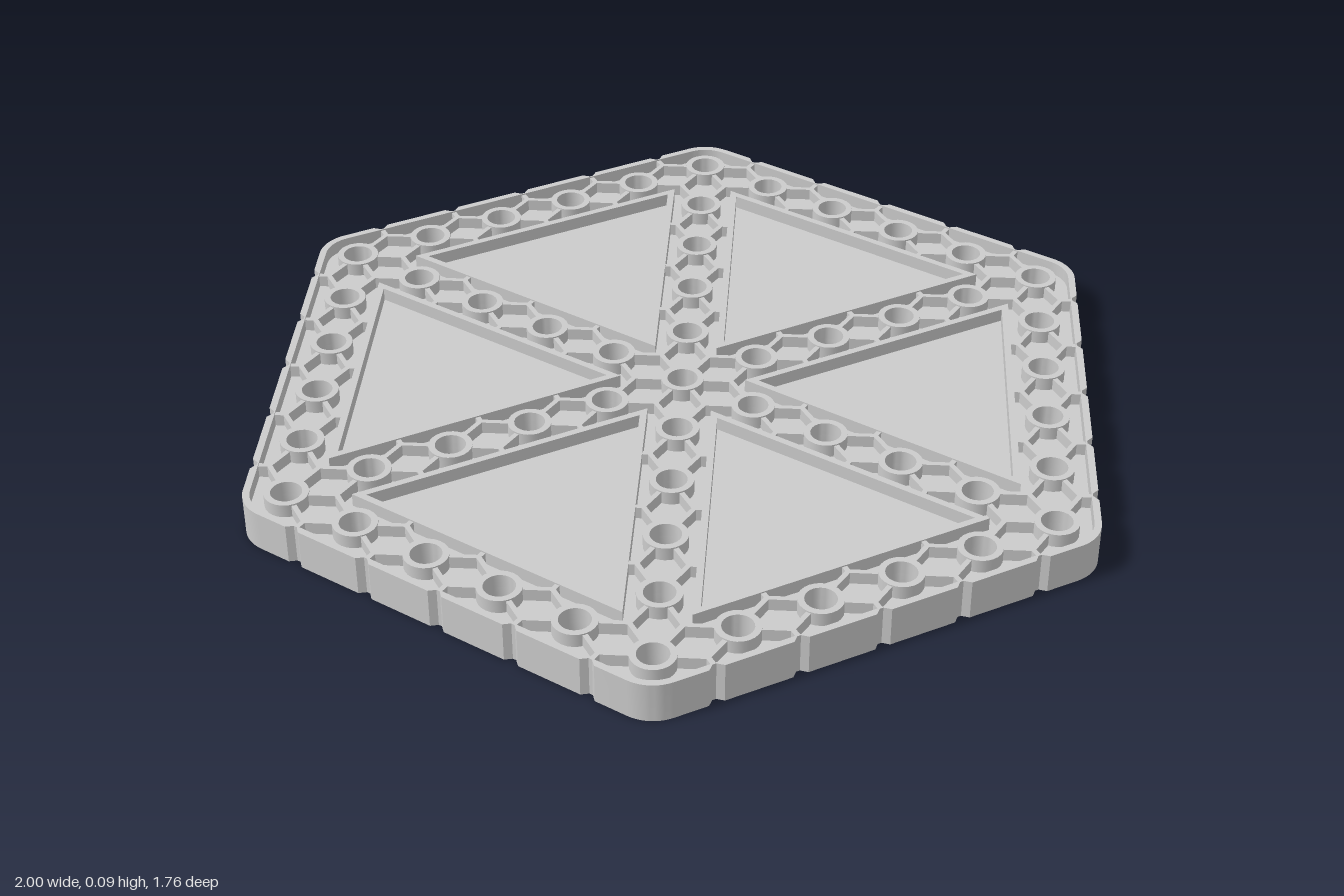
import * as THREE from 'three';
import { mergeGeometries, toCreasedNormals } from 'three/addons/utils/BufferGeometryUtils.js';

const HEIGHT = 0.09, STEPS = 5, PITCH = 0.182, R = PITCH * STEPS;
const HOLE = 0.033, BOSS = 0.047, EDGE = 0.09, WALL = 0.015;
const material = new THREE.MeshStandardMaterial({ color: 0xcccccc });

const polar = (r, deg) =>
  new THREE.Vector2(r * Math.cos(deg * Math.PI / 180), r * Math.sin(deg * Math.PI / 180));

// Hexagon with rounded corners, grown by `offset` from the hole line
function hexOutline(offset, notched) {
  const pts = [];
  for (let k = 0; k < 6; k++) {
    const corner = polar(R, 60 * k), next = polar(R, 60 * k + 60);
    for (let i = 0; i <= 10; i++) pts.push(corner.clone().add(polar(offset, 60 * k - 30 + 6 * i)));
    if (!notched) continue;
    const along = next.clone().sub(corner).normalize(), out = polar(1, 60 * k + 30);
    for (let s = 0; s < STEPS; s++) {
      for (const [du, depth] of [[-0.017, 0], [-0.004, 0.012], [0.004, 0.012], [0.017, 0]]) {
        pts.push(corner.clone()
          .addScaledVector(along, (s + 0.5) * PITCH + du)
          .addScaledVector(out, offset - depth));
      }
    }
  }
  return pts;
}

function trianglePoints(center, inradius, deg) {
  return [60, 180, 300].map((a) => center.clone().add(polar(inradius * 2, deg + a)));
}

function circlePath(center, r) {
  return new THREE.Path().absarc(center.x, center.y, r, 0, Math.PI * 2, true);
}

// Upright prism from a plan shape
function prism(shape, y0, y1) {
  const g = new THREE.ExtrudeGeometry(shape, { depth: y1 - y0, bevelEnabled: false, curveSegments: 12 });
  g.rotateX(-Math.PI / 2).translate(0, y0, 0);
  return toCreasedNormals(g, 0.6);
}

// Thin upright rib between two plan points
function rib(a, b) {
  const d = b.clone().sub(a);
  const g = new THREE.BoxGeometry(d.length(), HEIGHT - 0.006, 0.011);
  g.rotateY(Math.atan2(d.y, d.x));
  return g.translate((a.x + b.x) / 2, HEIGHT / 2, -(a.y + b.y) / 2);
}

export function createModel() {
  const group = new THREE.Group();
  const add = (name, geometry) => {
    const mesh = new THREE.Mesh(geometry, material);
    mesh.name = name;
    group.add(mesh);
  };

  // Bar segments: six spokes and six sides of the ring
  const origin = new THREE.Vector2();
  const bars = [];
  for (let k = 0; k < 6; k++) {
    bars.push([origin, polar(R, 60 * k)], [polar(R, 60 * k), polar(R, 60 * k + 60)]);
  }

  // Hole positions, one per lattice point on the bars
  const holes = [origin];
  for (const [a, b] of bars) {
    for (let s = 1; s <= STEPS; s++) {
      const p = a.clone().lerp(b, s / STEPS);
      if (!holes.some((h) => h.distanceTo(p) < 0.01)) holes.push(p);
    }
  }

  // Mid-height web that closes the plate, pierced by the holes
  const web = new THREE.Shape(hexOutline(EDGE - 0.014));
  holes.forEach((h) => web.holes.push(circlePath(h, HOLE)));
  add('web', prism(web, 0.03, 0.06));

  // Outer wall with a notch between each pair of holes
  const rim = new THREE.Shape(hexOutline(EDGE, true));
  rim.holes.push(new THREE.Path(hexOutline(EDGE - WALL)));
  add('outerRim', prism(rim, 0, HEIGHT));

  // Walls around the six triangular panels
  const inradius = R / (2 * Math.sqrt(3)) - 0.083;
  for (let k = 0; k < 6; k++) {
    const deg = 60 * k + 30, center = polar(R / Math.sqrt(3), deg);
    const frame = new THREE.Shape(trianglePoints(center, inradius + WALL, deg));
    frame.holes.push(new THREE.Path(trianglePoints(center, inradius, deg)));
    add('panelFrame' + (k + 1), prism(frame, 0, HEIGHT));
  }

  // Round bosses around the holes
  const bosses = holes.map((h) => {
    const ring = new THREE.Shape().absarc(h.x, h.y, BOSS, 0, Math.PI * 2, false);
    ring.holes.push(circlePath(h, HOLE));
    return prism(ring, 0, HEIGHT);
  });
  add('holeBosses', mergeGeometries(bosses));

  // Ribs from each boss to the wall midway between the holes
  const ribs = [];
  for (const [a, b] of bars) {
    const dir = b.clone().sub(a).normalize();
    const normal = new THREE.Vector2(-dir.y, dir.x);
    for (let s = 0; s < STEPS; s++) {
      const mid = a.clone().addScaledVector(dir, (s + 0.5) * PITCH);
      for (const side of [-1, 1]) {
        const node = mid.clone().addScaledVector(normal, side * PITCH / (2 * Math.sqrt(3)));
        for (const end of [-1, 1]) {
          const hole = mid.clone().addScaledVector(dir, end * PITCH / 2);
          const start = hole.clone().lerp(node, (BOSS - 0.005) / hole.distanceTo(node));
          ribs.push(rib(start, node));
        }
        ribs.push(rib(node, mid.clone().addScaledVector(normal, side * 0.077)));
      }
    }
  }
  add('ribs', mergeGeometries(ribs));
  return group;
}
